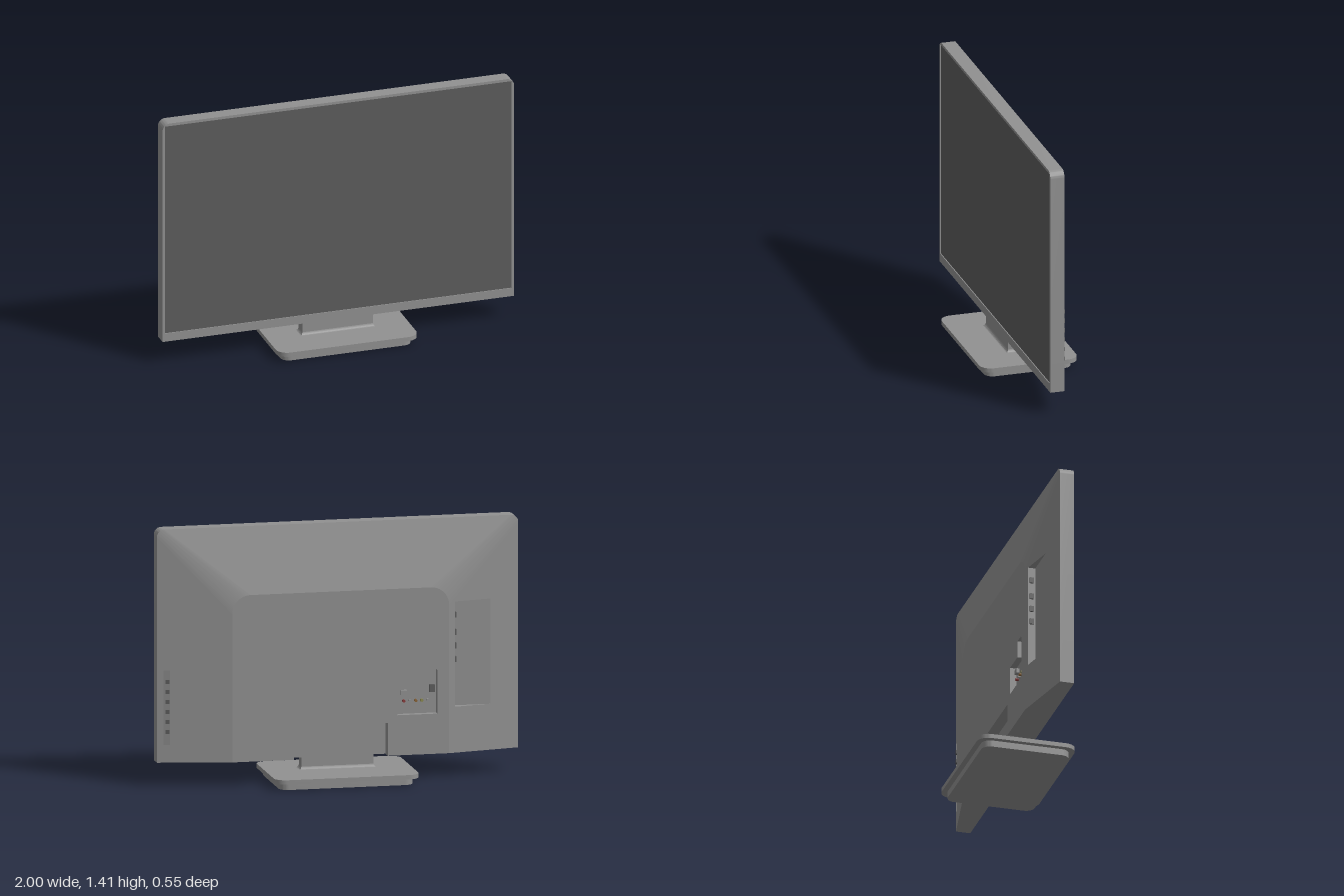
import * as THREE from 'three';
import { toCreasedNormals } from 'three/addons/utils/BufferGeometryUtils.js';

const colour = (c) => new THREE.MeshStandardMaterial({ color: c });
const casing = colour(0x919191);
const glass = colour(0x5d5d5d);
const shell = new THREE.MeshStandardMaterial({ color: 0x919191, side: THREE.DoubleSide });

const BOTTOM = 0.132, TOP = 1.415, DEPTH = 0.08;
const PX = 0.6, PY = 1.05, R_OUT = 0.04, R_IN = 0.1; // rear plateau half width and top, corner radii

// Height of the sloped side of the rear cover
const slopeZ = (x) => -DEPTH * Math.min(1, (1 - Math.abs(x)) / (1 - PX));
const v2 = (pts) => pts.map(([x, y]) => new THREE.Vector2(x, y));
const rect = (x0, x1, y0, y1) => [[x0, y0], [x1, y0], [x1, y1], [x0, y1]];

function add(parent, name, geometry, material, x = 0, y = 0, z = 0) {
  const mesh = new THREE.Mesh(geometry, material);
  mesh.name = name;
  mesh.position.set(x, y, z);
  parent.add(mesh);
  return mesh;
}

function box(parent, name, x0, x1, y0, y1, z0, z1, material = casing) {
  return add(parent, name, new THREE.BoxGeometry(x1 - x0, y1 - y0, z1 - z0), material,
    (x0 + x1) / 2, (y0 + y1) / 2, (z0 + z1) / 2);
}

// Flat face with holes, its vertices lifted to z = rule(x, y)
function face(parent, name, pts, rule, holes = []) {
  const shape = new THREE.Shape(v2(pts));
  holes.forEach((h) => shape.holes.push(new THREE.Path(v2(h))));
  const g = new THREE.ShapeGeometry(shape);
  const p = g.attributes.position;
  for (let i = 0; i < p.count; i++) p.setZ(i, rule(p.getX(i), p.getY(i)));
  g.computeVertexNormals();
  return add(parent, name, g, shell);
}

// Ruled surface through rows of points of equal length
function ruled(parent, name, rows, crease) {
  const n = rows[0].length, index = [];
  for (let r = 0; r < rows.length - 1; r++) {
    for (let i = 0; i < n - 1; i++) {
      const a = r * n + i, b = a + n;
      index.push(a, a + 1, b, a + 1, b + 1, b);
    }
  }
  const g = new THREE.BufferGeometry();
  g.setAttribute('position', new THREE.Float32BufferAttribute(rows.flat(2), 3));
  g.setIndex(index);
  g.computeVertexNormals();
  return add(parent, name, toCreasedNormals(g, crease), shell);
}

// Recess: floor at z = floorZ(x) plus walls up to the rear surface
function pocket(parent, name, pts, floorZ, closed = true) {
  face(parent, name + 'Floor', pts, floorZ);
  const edge = closed ? [...pts, pts[0]] : pts;
  ruled(parent, name + 'Walls', [
    edge.map(([x, y]) => [x, y, slopeZ(x)]),
    edge.map(([x, y]) => [x, y, floorZ(x)]),
  ], 0.3);
}

// Quarter arc from the +x side up to the top
const arc = (cx, cy, r, n = 10) => Array.from({ length: n + 1 }, (_, i) => {
  const a = (i / n) * Math.PI / 2;
  return [cx + r * Math.cos(a), cy + r * Math.sin(a)];
});

// Outline with square bottom and round top corners
function archOutline(w, top, r) {
  const right = arc(w - r, top - r, r);
  return [[w, BOTTOM], ...right, ...right.map(([x, y]) => [-x, y]).reverse(), [-w, BOTTOM]];
}

function roundedSlab(parent, name, w, d, r, y0, y1) {
  const c = arc(w - r, d - r, r);
  const flip = (sx, sy) => c.map(([x, y]) => [sx * x, sy * y]);
  const pts = [...c, ...flip(-1, 1).reverse(), ...flip(-1, -1), ...flip(1, -1).reverse()];
  const g = new THREE.ExtrudeGeometry(new THREE.Shape(v2(pts)), { depth: y1 - y0, bevelEnabled: false });
  g.rotateX(-Math.PI / 2);
  add(parent, name, toCreasedNormals(g, 0.6), casing, 0, y0, 0);
}

function buildFront(parent) {
  const shape = new THREE.Shape(v2(archOutline(1, TOP, R_OUT)));
  shape.holes.push(new THREE.Path(v2(rect(-0.985, 0.985, 0.18, 1.4))));
  const g = new THREE.ExtrudeGeometry(shape, { depth: DEPTH, bevelEnabled: false });
  add(parent, 'frontFrame', toCreasedNormals(g, 0.6), casing);
  box(parent, 'screen', -0.985, 0.985, 0.18, 1.4, 0.06, 0.075, glass);
}

function buildRearCover(parent) {
  const notch = [[0.26, BOTTOM], [0.26, 0.314], [-0.26, 0.314], [-0.26, BOTTOM]];
  const ports = [[-0.313, 0.353], [-0.313, 0.51], [-0.455, 0.51], [-0.455, 0.605],
    [-0.522, 0.605], [-0.534, 0.593], [-0.534, 0.353]];
  const sidePorts = rect(-0.84, -0.634, 0.385, 0.965);
  const controls = rect(0.932, 0.966, 0.23, 0.64);

  // Central plateau with the stand notch cut into its lower edge
  face(parent, 'rearPanel', [...archOutline(PX, PY, R_IN), ...[...notch].reverse()], () => -DEPTH, [ports]);
  pocket(parent, 'standNotch', notch, () => -0.02, false);
  pocket(parent, 'portRecess', ports, () => -0.045);
  pocket(parent, 'sidePortRecess', sidePorts, () => slopeZ(0.84));
  pocket(parent, 'controlRecess', controls, (x) => slopeZ(x) + 0.18 * (x - 0.932));

  // Sloping sides and their blended top corners
  for (const s of [1, -1]) {
    const side = [[PX, BOTTOM], [1, BOTTOM], [1, TOP - R_OUT], [PX, PY - R_IN]].map(([x, y]) => [s * x, y]);
    face(parent, 'rearSideSlope', side, slopeZ, [s < 0 ? sidePorts : controls]);
    ruled(parent, 'rearCorner', [
      arc(1 - R_OUT, TOP - R_OUT, R_OUT).map(([x, y]) => [s * x, y, 0]),
      arc(PX - R_IN, PY - R_IN, R_IN).map(([x, y]) => [s * x, y, -DEPTH]),
    ], 0.6);
  }
  const topEdge = [[1 - R_OUT, TOP], [R_OUT - 1, TOP], [R_IN - PX, PY], [PX - R_IN, PY]];
  face(parent, 'rearTopSlope', topEdge, (x, y) => -DEPTH * (TOP - y) / (TOP - PY));

  // Underside, following the notch
  const outline = [[1, 0], [PX, DEPTH], [0.26, DEPTH], [0.26, 0.02], [-0.26, 0.02], [-0.26, DEPTH], [-PX, DEPTH], [-1, 0]];
  const underside = face(parent, 'rearUnderside', outline, () => 0);
  underside.rotation.x = -Math.PI / 2;
  underside.position.y = BOTTOM;
}

function buildPorts(parent) {
  // Round sockets in the rear recess
  [0x8a3a3a, 0x919191, 0x8a6438, 0x8c8a50, 0x919191].forEach((c, i) => {
    const g = new THREE.CylinderGeometry(0.008, 0.008, 0.016, 16).rotateX(Math.PI / 2);
    add(parent, 'audioSocket', g, colour(c), -0.355 - i * 0.033, 0.425, -0.053);
  });
  box(parent, 'upperSocket', -0.372, -0.335, 0.46, 0.485, -0.062, -0.045);
  box(parent, 'aerialSocket', -0.525, -0.495, 0.47, 0.51, -0.062, -0.045, glass);

  // Sockets on the inner wall of the side recess
  for (const y of [0.89, 0.795, 0.72, 0.645]) {
    box(parent, 'sideSocket', -0.643, -0.632, y - 0.016, y + 0.016, -0.064, -0.042, glass);
  }
}

function buildControls(parent) {
  // Column of buttons tilted with the slope
  for (let i = 0; i < 6; i++) {
    const y = 0.302 + i * 0.055, z = slopeZ(0.944);
    const button = box(parent, 'button', 0.934, 0.954, y - 0.011, y + 0.011, z - 0.007, z + 0.006, glass);
    button.rotation.y = -Math.atan(DEPTH / (1 - PX));
  }
}

function buildStand(parent) {
  roundedSlab(parent, 'baseFoot', 0.37, 0.245, 0.05, 0, 0.036);
  roundedSlab(parent, 'basePlate', 0.4, 0.275, 0.065, 0.036, 0.06);
  box(parent, 'neck', -0.2, 0.2, 0.055, 0.15, 0.002, 0.068);
  // Small flare where the neck meets the base
  const rows = [[0.014, 0.059], [0.007, 0.062], [0.003, 0.067], [0.0005, 0.076]].map(([o, y]) => {
    const x = 0.2 + o, z0 = 0.002 - o, z1 = 0.068 + o;
    return [[x, y, z0], [-x, y, z0], [-x, y, z1], [x, y, z1], [x, y, z0]];
  });
  ruled(parent, 'neckFlare', rows, 0.7);
}

export function createModel() {
  const model = new THREE.Group();
  model.name = 'television';
  for (const [name, build] of Object.entries({
    front: buildFront, rearCover: buildRearCover, ports: buildPorts, sideControls: buildControls, stand: buildStand,
  })) {
    const group = new THREE.Group();
    group.name = name;
    build(group);
    model.add(group);
  }
  return model;
}
